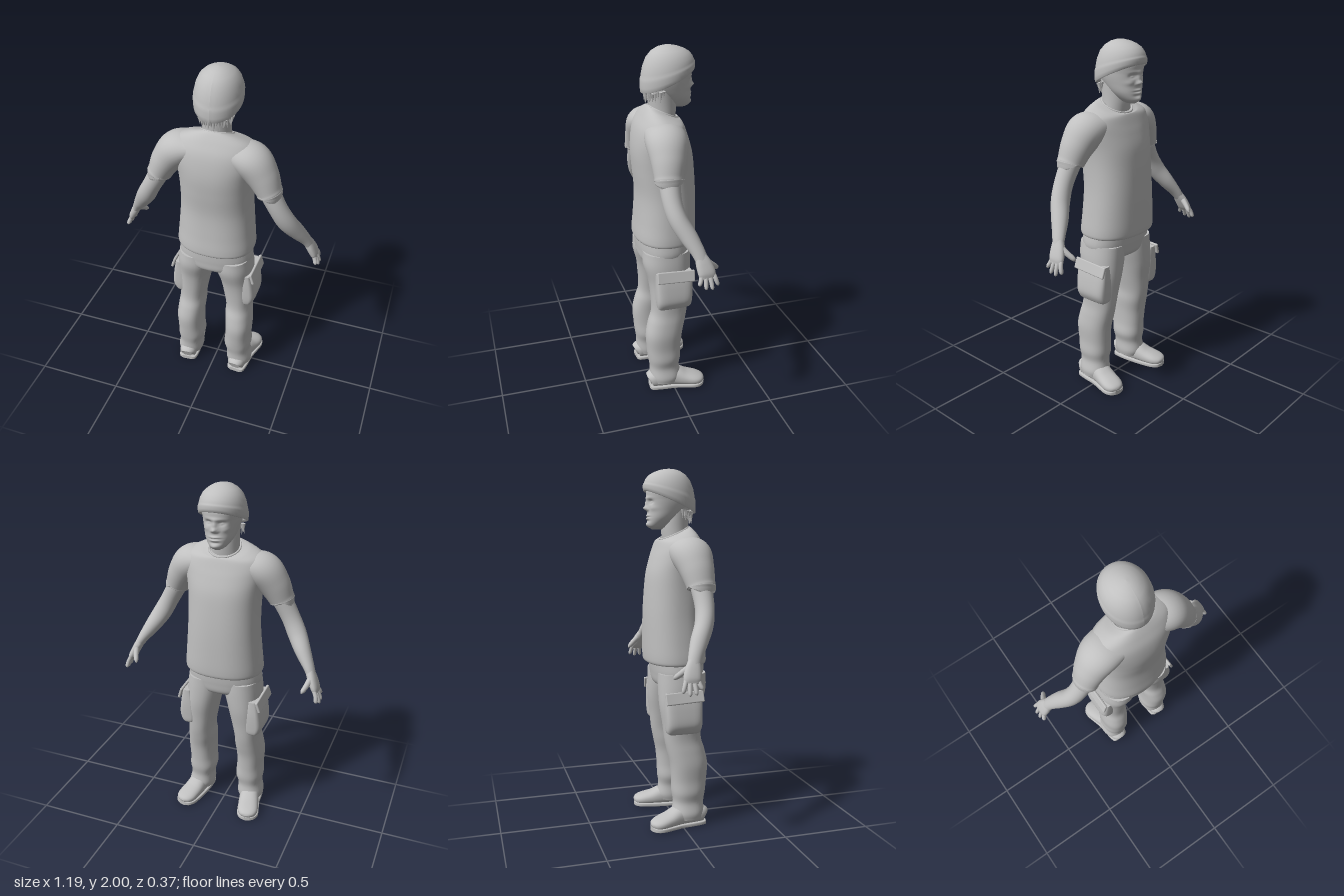
import * as THREE from 'three';
import { RoundedBoxGeometry } from 'three/addons/geometries/RoundedBoxGeometry.js';

const V = (x, y, z) => new THREE.Vector3(x, y, z);
const Y = V(0, 1, 0), Z = V(0, 0, 1);

// Smooth skin over cross-sections [x, y, z, halfA, halfB, tilt].
// upright keeps sections level, ref sets the direction of halfB, n the squareness.
function loft(sections, { seg = 32, rings = 32, n = 2, ref = Z, upright = false } = {}) {
  const centre = new THREE.CatmullRomCurve3(sections.map(s => V(s[0], s[1], s[2])), false, 'catmullrom', 0.5);
  const size = new THREE.CatmullRomCurve3(sections.map(s => V(s[3], s[4], s[5] || 0)), false, 'catmullrom', 0.5);
  const pos = [], idx = [];
  const power = v => Math.sign(v) * Math.abs(v) ** (2 / n);
  for (let i = 0; i <= rings; i++) {
    const c = centre.getPoint(i / rings), r = size.getPoint(i / rings);
    const T = upright ? Y.clone() : centre.getTangent(i / rings);
    const B = ref.clone().addScaledVector(T, -ref.dot(T)).normalize();
    const N = T.clone().cross(B);
    for (let j = 0; j < seg; j++) {
      const t = j / seg * Math.PI * 2, b = r.y * power(Math.sin(t));
      const p = c.clone().addScaledVector(N, r.x * power(Math.cos(t))).addScaledVector(B, b).addScaledVector(T, b * r.z);
      pos.push(p.x, p.y, p.z);
      if (i < rings) {
        const k = (j + 1) % seg, a = i * seg;
        idx.push(a + j, a + seg + j, a + k, a + k, a + seg + j, a + seg + k);
      }
    }
  }
  // end caps with their own vertices
  for (const end of [0, rings]) {
    const base = pos.length / 3, c = centre.getPoint(end / rings);
    for (let j = 0; j < seg; j++) pos.push(...pos.slice((end * seg + j) * 3, (end * seg + j) * 3 + 3));
    pos.push(c.x, c.y, c.z);
    for (let j = 0; j < seg; j++) {
      const k = (j + 1) % seg;
      idx.push(base + seg, base + (end ? k : j), base + (end ? j : k));
    }
  }
  const g = new THREE.BufferGeometry();
  g.setAttribute('position', new THREE.Float32BufferAttribute(pos, 3));
  g.setIndex(idx);
  g.computeVertexNormals();
  return g;
}

// Level section from its height, front z, back z, centre x and half width
const level = (y, front, back, rx, x = 0, tilt = 0) => [x, y, (front + back) / 2, rx, (back - front) / 2, tilt];

function headGeometry() {
  const g = loft([
    level(1.672, -0.12, -0.06, 0.02), level(1.69, -0.143, -0.02, 0.046), level(1.73, -0.145, 0.03, 0.074),
    level(1.78, -0.143, 0.08, 0.09), level(1.83, -0.145, 0.105, 0.1), level(1.89, -0.145, 0.105, 0.104),
    level(1.95, -0.1, 0.07, 0.07),
  ], { seg: 72, rings: 80, upright: true, n: 2.2 });
  // features pushed out or in: x, y, width, height, amount
  const bumps = [
    [0, 1.785, 0.014, 0.012, 0.022], [0, 1.81, 0.011, 0.022, 0.014], [0, 1.84, 0.05, 0.01, 0.006],
    [0, 1.746, 0.024, 0.006, 0.008], [0, 1.73, 0.022, 0.006, 0.008], [0, 1.738, 0.026, 0.003, -0.006],
    [0, 1.698, 0.022, 0.012, 0.008], [0, 1.716, 0.025, 0.006, -0.004],
  ];
  for (const s of [-1, 1]) bumps.push([s * 0.036, 1.82, 0.017, 0.012, -0.014], [s * 0.036, 1.818, 0.009, 0.006, 0.008],
    [s * 0.055, 1.785, 0.02, 0.014, 0.005], [s * 0.015, 1.778, 0.007, 0.007, 0.006]);
  const p = g.attributes.position;
  for (let i = 0; i < p.count; i++) {
    if (p.getZ(i) > -0.06) continue;
    let push = 0;
    for (const [x, y, w, h, amount] of bumps)
      push += amount * Math.exp(-(((p.getX(i) - x) / w) ** 2) - ((p.getY(i) - y) / h) ** 2);
    p.setZ(i, p.getZ(i) - push);
  }
  g.computeVertexNormals();
  return g;
}

// Dome whose rim slopes from the brow down to the nape; profile is [radius, height]
function capGeometry() {
  const profile = [[0.9, 0.05], [0.94, 0], [0.985, 0.02], [1, 0.12], [1, 0.24], [0.985, 0.31], [0.965, 0.33], [0.95, 0.4],
    [0.9, 0.55], [0.78, 0.73], [0.6, 0.86], [0.38, 0.95], [0.18, 0.99], [0, 1]];
  const g = new THREE.LatheGeometry(profile.map(([r, h]) => new THREE.Vector2(r, h)), 48);
  const p = g.attributes.position;
  for (let i = 0; i < p.count; i++) {
    const z = p.getZ(i) * 0.148 - 0.019, h = p.getY(i), rim = 1.81 - 0.44 * z;
    p.setXYZ(i, p.getX(i) * 0.13, rim + (2 - rim) * h, z);
  }
  g.computeVertexNormals();
  return g;
}

export function createModel() {
  const model = new THREE.Group();
  model.name = 'standingMan';
  const grey = new THREE.MeshStandardMaterial({ color: 0xc0c0c0 });
  grey.name = 'plain grey';
  grey.side = THREE.DoubleSide;
  const add = (name, geometry) => {
    const m = new THREE.Mesh(geometry, grey);
    m.name = name;
    model.add(m);
    return m;
  };

  // Head, neck, cap
  add('head', headGeometry());
  add('neck', loft([level(1.56, -0.05, 0.08, 0.085), level(1.64, -0.062, 0.085, 0.08), level(1.7, -0.066, 0.088, 0.078),
    level(1.8, -0.06, 0.095, 0.08)], { upright: true }));
  add('knitCap', capGeometry());

  // Ragged hair below the cap at the nape
  for (let i = 0; i < 19; i++) {
    const t = (i / 18 - 0.5) * 2.5, length = 0.05 + 0.014 * Math.sin(i * 2.7);
    const tuft = add('hairTuft', new THREE.ConeGeometry(0.011, length, 6));
    const z = 0.11 * Math.cos(t) - 0.005;
    tuft.position.set(0.1 * Math.sin(t), 1.79 - 0.3 * z - length / 2, z);
    tuft.rotation.set(Math.PI, 0, 0.2 * Math.sin(i * 1.9));
  }

  // Shirt body and collar
  add('shirt', loft([
    level(0.928, -0.14, 0.155, 0.205), level(0.935, -0.16, 0.176, 0.222), level(0.97, -0.166, 0.178, 0.224),
    level(1.06, -0.167, 0.17, 0.216), level(1.2, -0.165, 0.163, 0.205), level(1.33, -0.157, 0.174, 0.203),
    level(1.43, -0.145, 0.18, 0.21), level(1.51, -0.122, 0.174, 0.225), level(1.57, -0.104, 0.158, 0.23, 0, 0.08),
    level(1.617, -0.09, 0.13, 0.205, 0, 0.18), level(1.643, -0.083, 0.106, 0.145, 0, 0.33),
    level(1.652, -0.078, 0.092, 0.09, 0, 0.45)], { seg: 56, rings: 66, n: 2.3, upright: true }));
  const collar = add('collar', new THREE.TorusGeometry(0.086, 0.006, 8, 40));
  collar.rotation.x = Math.PI / 2 - 0.42;
  collar.position.set(0, 1.652, 0.007);

  // Trouser seat
  add('trouserSeat', loft([level(0.78, -0.06, 0.1, 0.1), level(0.81, -0.108, 0.152, 0.185),
    level(0.87, -0.122, 0.162, 0.215), level(0.95, -0.13, 0.165, 0.208)], { n: 2.3, upright: true }));

  for (const s of [-1, 1]) {
    const side = s > 0 ? 'left' : 'right';
    const limb = (name, rows, options) => add(side + name, loft(rows.map(([x, ...rest]) => [s * x, ...rest]), options));

    // Arm and sleeve
    limb('Sleeve', [[0.12, 1.565, 0.035, 0.07, 0.11], [0.205, 1.532, 0.045, 0.098, 0.112], [0.265, 1.462, 0.055, 0.087, 0.095],
      [0.305, 1.385, 0.064, 0.07, 0.079], [0.31, 1.373, 0.065, 0.07, 0.079], [0.313, 1.365, 0.065, 0.062, 0.071]]);
    limb('Arm', [[0.29, 1.41, 0.063, 0.058, 0.06], [0.36, 1.28, 0.066, 0.052, 0.052], [0.408, 1.19, 0.048, 0.053, 0.05],
      [0.457, 1.11, 0.006, 0.044, 0.047], [0.5, 1.045, -0.028, 0.031, 0.038], [0.525, 1.0, -0.045, 0.024, 0.034]]);

    // Hand with fanned fingers
    limb('Palm', [[0.515, 1.02, -0.04, 0.024, 0.032], [0.535, 0.98, -0.052, 0.024, 0.043], [0.554, 0.94, -0.062, 0.021, 0.047],
      [0.564, 0.915, -0.065, 0.013, 0.042]], { seg: 20, n: 2.4 });
    const tips = [[0.575, 0.88, -0.018], [0.584, 0.861, -0.05], [0.584, 0.857, -0.083], [0.574, 0.87, -0.115]];
    tips.forEach(([x, y, z], i) => limb('Finger' + (i + 1), [[0.55, 0.945, -0.036 - i * 0.019, 0.011, 0.012],
      [0.568, 0.91, -0.027 - i * 0.026, 0.012, 0.012], [x, y + 0.01, z, 0.011, 0.01], [x, y, z, 0.003, 0.003]], { seg: 12, rings: 14 }));
    limb('Thumb', [[0.528, 0.99, -0.07, 0.017, 0.02], [0.516, 0.963, -0.105, 0.015, 0.016], [0.503, 0.94, -0.132, 0.012, 0.013],
      [0.497, 0.928, -0.143, 0.003, 0.004]], { seg: 12, rings: 14, ref: Y });

    // Trouser leg with soft folds, given by inner and outer x
    const leg = (y, front, back, inner, outer) => level(y, front, back, (outer - inner) / 2, (outer + inner) / 2);
    limb('TrouserLeg', [leg(0.045, -0.04, 0.125, 0.09, 0.235), leg(0.08, -0.05, 0.133, 0.084, 0.238),
      leg(0.14, -0.042, 0.134, 0.085, 0.226), leg(0.2, -0.05, 0.143, 0.07, 0.235), leg(0.27, -0.052, 0.15, 0.076, 0.232),
      leg(0.36, -0.06, 0.155, 0.076, 0.236), leg(0.44, -0.077, 0.14, 0.07, 0.23), leg(0.51, -0.09, 0.12, 0.07, 0.223),
      leg(0.6, -0.1, 0.12, 0.054, 0.226), leg(0.7, -0.113, 0.13, 0.033, 0.225), leg(0.8, -0.116, 0.155, 0.008, 0.222),
      leg(0.88, -0.115, 0.155, 0.005, 0.212)], { rings: 60, n: 2.25, upright: true });

    // Cargo pocket and flap
    limb('CargoPocket', [level(0.55, -0.08, 0.09, 0.025, 0.2), level(0.565, -0.095, 0.1, 0.042, 0.2),
      level(0.61, -0.1, 0.106, 0.055, 0.203), level(0.69, -0.103, 0.108, 0.048, 0.203), level(0.78, -0.1, 0.108, 0.03, 0.203)],
    { n: 4, upright: true });
    const flap = add(side + 'PocketFlap', new RoundedBoxGeometry(0.016, 0.066, 0.218, 2, 0.006));
    flap.position.set(s * 0.24, 0.762, 0);
    flap.rotation.set(-0.05, 0, s * 0.3);

    // Shoe and sole, toes turned slightly out
    const shoe = [[0.16, 0.05, 0.14, 0.03, 0.03], [0.161, 0.055, 0.125, 0.05, 0.048], [0.165, 0.06, 0.06, 0.058, 0.058],
      [0.172, 0.06, -0.01, 0.058, 0.058], [0.186, 0.047, -0.075, 0.061, 0.043], [0.202, 0.038, -0.135, 0.06, 0.033],
      [0.21, 0.032, -0.17, 0.043, 0.024], [0.213, 0.028, -0.184, 0.014, 0.01]];
    limb('Shoe', shoe, { ref: Y, n: 2.3 });
    limb('Sole', shoe.map(([x, , z, a]) => [x, 0.012, z, a + 0.004, 0.012]), { ref: Y, n: 6 });
  }
  return model;
}
